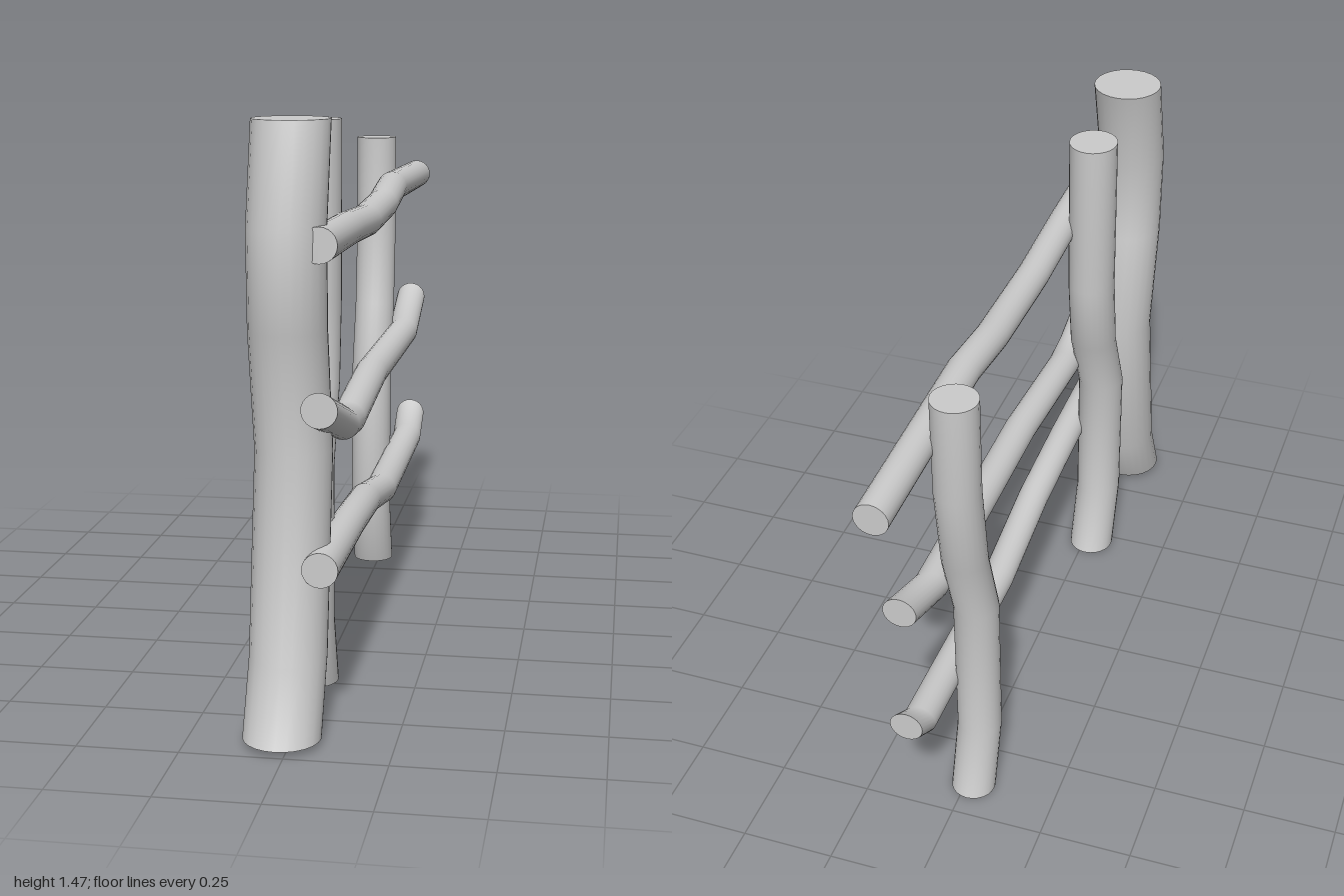
import * as THREE from 'three';

const SIDES = 24;

// Sweeps one fixed ring along a bent path. Posts use level rings, rails use upright ones,
// so every end is cut square to the axis and bends stay as mitred kinks.
function branch(name, x, path, rx, r, upright) {
  const pos = [], idx = [];
  const ring = ([z, y]) => {
    for (let i = 0; i < SIDES; i++) {
      const a = (i / SIDES) * Math.PI * 2;
      const c = Math.cos(a) * rx, s = Math.sin(a) * r;
      if (upright) pos.push(x + c, y + s, z);
      else pos.push(x + c, y, z + s);
    }
  };
  path.forEach(ring);

  // bark
  for (let k = 0; k < path.length - 1; k++) {
    for (let i = 0; i < SIDES; i++) {
      const j = (i + 1) % SIDES;
      const a = k * SIDES + i, b = k * SIDES + j;
      idx.push(a, a + SIDES, b, b, a + SIDES, b + SIDES);
    }
  }

  // flat sawn ends with their own vertices, so the rim stays sharp
  [path[0], path[path.length - 1]].forEach((p, end) => {
    const start = pos.length / 3;
    ring(p);
    pos.push(x, p[1], p[0]);
    for (let i = 0; i < SIDES; i++) {
      const a = start + i, b = start + (i + 1) % SIDES, c = start + SIDES;
      if (end) idx.push(c, b, a);
      else idx.push(c, a, b);
    }
  });

  const geo = new THREE.BufferGeometry();
  geo.setAttribute('position', new THREE.Float32BufferAttribute(pos, 3));
  geo.setIndex(idx);
  geo.computeVertexNormals();
  const mesh = new THREE.Mesh(geo, new THREE.MeshStandardMaterial({ color: 0xcccccc }));
  mesh.name = name;
  return mesh;
}

export function createModel() {
  const group = new THREE.Group();
  group.name = 'rusticFence';

  // upright posts: path points are [z, y] from the ground up
  const posts = [
    ['thickFrontPost', 0.095, 0.097,
      [[0.903, 0.015], [0.817, 0.19], [0.73, 0.68], [0.80, 0.98], [0.81, 1.22], [0.742, 1.47]]],
    ['middlePost', 0.066, 0.07,
      [[0.47, 0], [0.535, 0.19], [0.535, 0.59], [0.445, 0.79], [0.415, 1.0], [0.41, 1.45]]],
    ['backPost', 0.06, 0.06,
      [[-0.635, 0], [-0.576, 0.19], [-0.58, 0.61], [-0.65, 0.82], [-0.684, 1.06], [-0.685, 1.33]]],
  ];
  for (const [name, rx, rz, path] of posts) group.add(branch(name, -0.02, path, rx, rz, false));

  // rails: path points are [z, y] from back to front
  const rails = [
    ['topRail',
      [[-1.0, 1.19], [-0.4, 1.205], [-0.19, 1.175], [0.14, 1.165], [0.44, 1.18], [0.87, 1.19]]],
    ['middleRail',
      [[-0.875, 0.805], [-0.67, 0.725], [0.025, 0.73], [0.425, 0.69], [0.53, 0.70], [0.87, 0.805]]],
    ['bottomRail',
      [[-0.875, 0.42], [-0.785, 0.36], [-0.18, 0.345], [0.14, 0.40], [0.44, 0.415], [0.87, 0.42]]],
  ];
  for (const [name, path] of rails) {
    // front-to-back order keeps the faces outward for upright rings
    group.add(branch(name, 0.066, path.reverse(), 0.044, 0.043, true));
  }
  return group;
}
